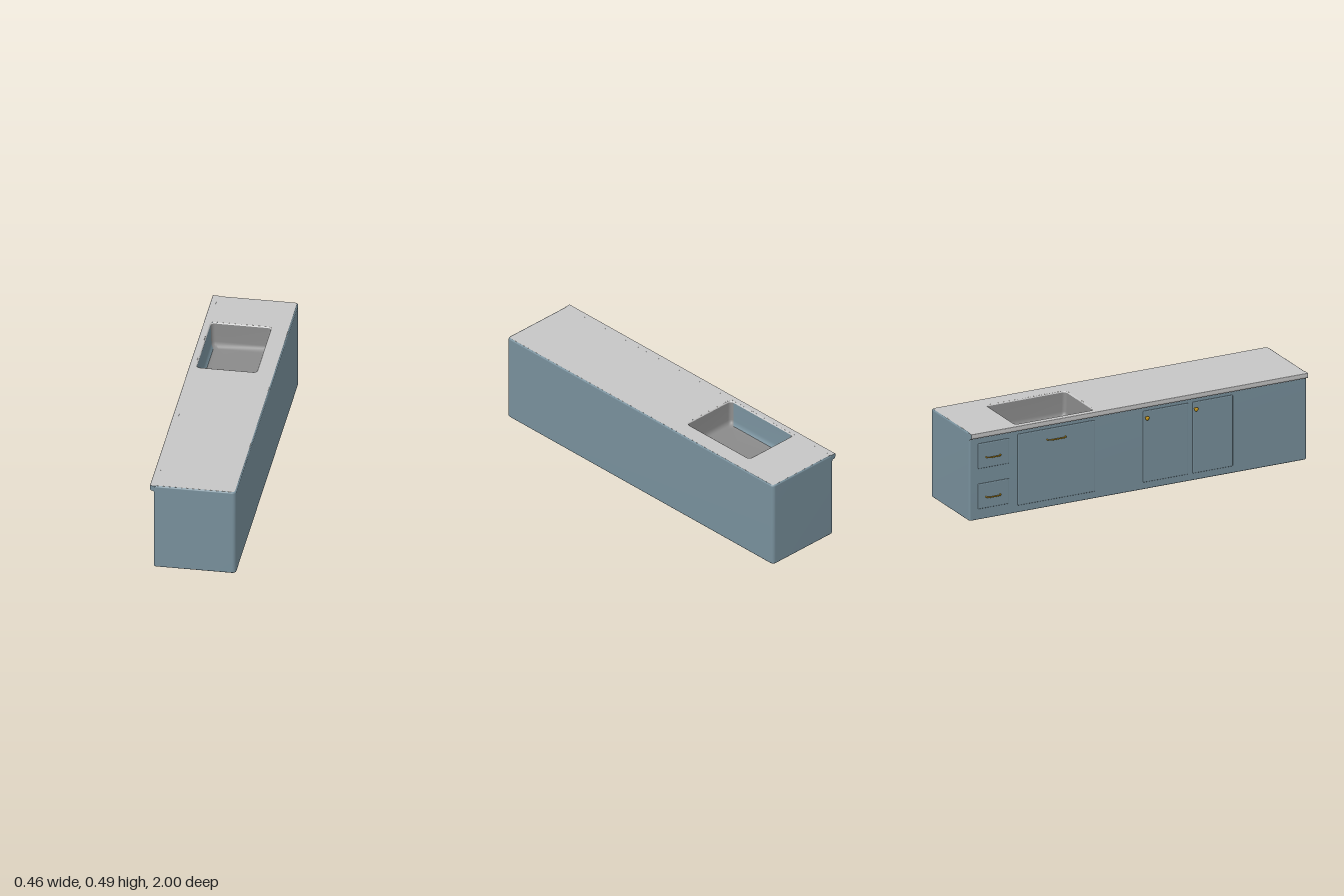
import * as THREE from 'three';
import { RoundedBoxGeometry } from 'three/addons/geometries/RoundedBoxGeometry.js';

const N = 6; // points per rounded corner

// Rounded rectangle at height y, counter-clockwise from above; rl / rr are the corner radii at -x / +x
function ring(x0, x1, z0, z1, y, rl, rr) {
  const pts = [];
  const corners = [[x1 - rr, z0 + rr, rr], [x0 + rl, z0 + rl, rl], [x0 + rl, z1 - rl, rl], [x1 - rr, z1 - rr, rr]];
  corners.forEach(([cx, cz, r], k) => {
    for (let i = 0; i < N; i++) {
      const a = (k + i / (N - 1)) * Math.PI / 2;
      pts.push(new THREE.Vector3(cx + r * Math.cos(a), y, cz - r * Math.sin(a)));
    }
  });
  return pts;
}

// Smooth skin through the rings; pick(column, row) chooses the faces to keep
function loft(rings, pick = () => true) {
  const n = rings[0].length, index = [];
  for (let r = 0; r < rings.length - 1; r++) {
    for (let i = 0; i < n; i++) {
      if (!pick(i, r)) continue;
      const j = (i + 1) % n, a = r * n + i, b = r * n + j, c = b + n, d = a + n;
      index.push(a, b, c, a, c, d);
    }
  }
  const g = new THREE.BufferGeometry().setFromPoints(rings.flat());
  g.setIndex(index);
  g.computeVertexNormals();
  return g;
}

export function createModel() {
  const group = new THREE.Group();
  const mat = (name, color) => {
    const m = new THREE.MeshStandardMaterial({ color });
    m.name = name;
    return m;
  };
  const blue = mat('cabinetBlue', 0x78909c);
  const grey = mat('counterGrey', 0xc6c6c6);
  const steel = mat('sinkGrey', 0x8a8a8a);
  const gold = mat('brass', 0xd4a017);
  const add = (name, geometry, material) => {
    const m = new THREE.Mesh(geometry, material);
    m.name = name;
    group.add(m);
    return m;
  };

  // Cabinet body with softened edges, closed underneath
  const bodyRing = (inset, y) => ring(-0.205 + inset, 0.231 - inset, -1 + inset, 1 - inset, y, 0.01, 0.02);
  add('cabinetBody', loft([
    ring(0.01, 0.01, 0, 0, 0, 0, 0),
    bodyRing(0.006, 0), bodyRing(0.002, 0.002), bodyRing(0, 0.006),
    bodyRing(0, 0.482), bodyRing(0.002, 0.487), bodyRing(0.007, 0.49),
  ]), blue);

  // Sink bowl: rim, walls and floor
  const sinkRing = (inset, y, r) => ring(-0.188 + inset, 0.132 - inset, -0.72 + inset, -0.252 - inset, y, r, r);
  const sinkRings = [
    sinkRing(-0.006, 0.49, 0.026), sinkRing(-0.002, 0.4885, 0.022), sinkRing(0, 0.484, 0.02),
    sinkRing(0.005, 0.38, 0.02), sinkRing(0.009, 0.364, 0.02), sinkRing(0.018, 0.354, 0.02),
    sinkRing(0.034, 0.35, 0.02), ring(-0.028, -0.028, -0.486, -0.486, 0.35, 0, 0),
  ];
  const frontWall = (i, r) => i === 2 * N - 1 && r < 5;
  add('sinkRim', loft(sinkRings, (i, r) => r < 2), grey);
  add('sinkBowl', loft(sinkRings, (i, r) => r >= 2 && !frontWall(i, r)), steel);
  add('sinkFrontWall', loft(sinkRings, (i, r) => r >= 2 && frontWall(i, r)), blue);

  // Counter surface with the sink opening
  const plan = (pts) => pts.map((p) => new THREE.Vector2(p.x, -p.z));
  const top = new THREE.Shape(plan(ring(-0.205, 0.224, -0.993, 0.993, 0, 0.004, 0.015)));
  top.holes.push(new THREE.Path(plan(sinkRings[0])));
  const topGeometry = new THREE.ShapeGeometry(top);
  topGeometry.rotateX(-Math.PI / 2);
  add('counterTop', topGeometry, grey).position.y = 0.4902;

  // Overhanging counter edge, ends in cabinet colour
  const lip = new THREE.Shape();
  lip.moveTo(-0.196, 0.4903);
  lip.lineTo(-0.223, 0.4903);
  lip.quadraticCurveTo(-0.2265, 0.4903, -0.2265, 0.486);
  lip.lineTo(-0.2265, 0.474);
  lip.quadraticCurveTo(-0.2265, 0.462, -0.216, 0.461);
  lip.quadraticCurveTo(-0.206, 0.461, -0.204, 0.452);
  lip.lineTo(-0.196, 0.452);
  const lipGeometry = new THREE.ExtrudeGeometry(lip, { depth: 1.996, bevelEnabled: false, curveSegments: 6 });
  add('counterLip', lipGeometry, [blue, grey]).position.z = -0.998;

  // Drawer fronts and doors: name, y range, z range
  const panels = [
    ['upperDrawer', 0.285, 0.425, -0.95, -0.765],
    ['lowerDrawer', 0.06, 0.2, -0.95, -0.765],
    ['sinkDoor', 0.04, 0.438, -0.715, -0.258],
    ['middleDoor', 0.04, 0.438, 0.03, 0.297],
    ['endDoor', 0.04, 0.438, 0.322, 0.562],
  ];
  for (const [name, y0, y1, z0, z1] of panels) {
    add(name, new RoundedBoxGeometry(0.02, y1 - y0, z1 - z0, 3, 0.005), blue)
      .position.set(-0.2, (y0 + y1) / 2, (z0 + z1) / 2);
  }

  // Bow handles: name, y, z, half length
  const handles = [
    ['upperDrawerHandle', 0.345, -0.862, 0.042],
    ['lowerDrawerHandle', 0.123, -0.862, 0.042],
    ['sinkDoorHandle', 0.38, -0.487, 0.055],
  ];
  for (const [name, y, z, h] of handles) {
    const path = new THREE.CatmullRomCurve3(
      [[-0.206, -1], [-0.219, -0.95], [-0.2255, -0.7], [-0.2265, 0], [-0.2255, 0.7], [-0.219, 0.95], [-0.206, 1]]
        .map(([x, t]) => new THREE.Vector3(x, 0, t * h)));
    add(name, new THREE.TubeGeometry(path, 32, 0.0038, 8), gold).position.set(0, y, z);
  }

  // Turned door knobs
  const knobProfile = [[0.005, 0], [0.0045, 0.012], [0.006, 0.015], [0.011, 0.02], [0.0115, 0.022], [0.009, 0.0255], [0, 0.0275]]
    .map(([r, y]) => new THREE.Vector2(r, y));
  for (const [name, z] of [['middleDoorKnob', 0.045], ['endDoorKnob', 0.335]]) {
    const knob = add(name, new THREE.LatheGeometry(knobProfile, 20), gold);
    knob.rotation.z = Math.PI / 2;
    knob.position.set(-0.206, 0.403, z);
  }
  return group;
}
